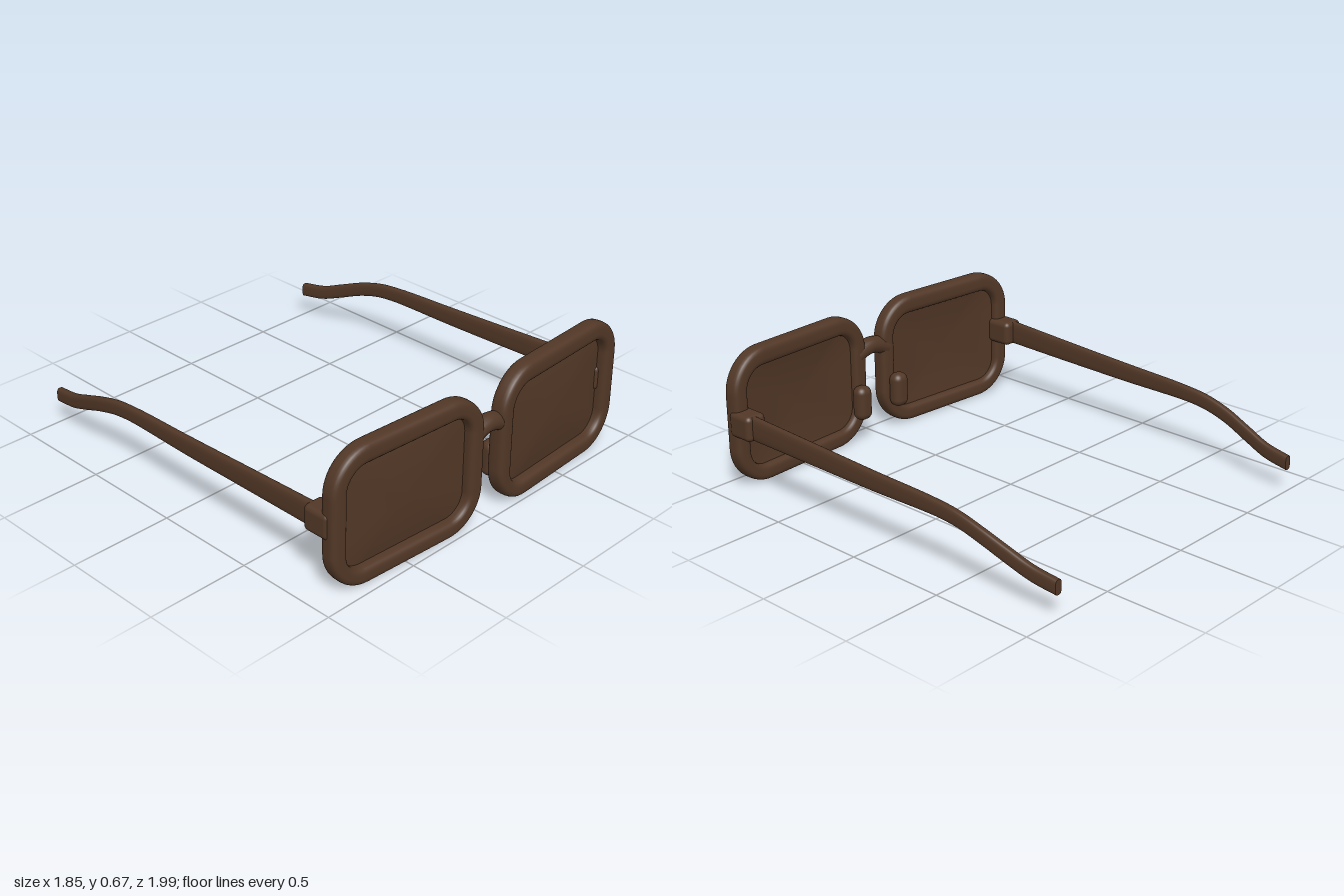
import * as THREE from 'three';
import { RoundedBoxGeometry } from 'three/addons/geometries/RoundedBoxGeometry.js';

const brown = new THREE.MeshStandardMaterial({ color: 0x513726, side: THREE.DoubleSide });
brown.name = 'dark brown';

// Skins a list of closed rings; the list may close on itself or get flat end caps.
function loft(rings, { loop = false, caps = false } = {}) {
  const n = rings[0].length, pos = [], idx = [];
  rings.forEach(r => r.forEach(p => pos.push(...p)));
  const last = loop ? rings.length : rings.length - 1;
  for (let j = 0; j < last; j++) {
    const k = (j + 1) % rings.length;
    for (let i = 0; i < n; i++) {
      const m = (i + 1) % n;
      const a = j * n + i, b = j * n + m, c = k * n + i, d = k * n + m;
      idx.push(a, c, b, b, c, d);
    }
  }
  if (caps) [rings[0], rings[rings.length - 1]].forEach((r, e) => {
    const s = pos.length / 3;
    r.forEach(p => pos.push(...p));
    for (let i = 1; i < n - 1; i++) e ? idx.push(s, s + i + 1, s + i) : idx.push(s, s + i, s + i + 1);
  });
  const g = new THREE.BufferGeometry();
  g.setAttribute('position', new THREE.Float32BufferAttribute(pos, 3));
  g.setIndex(idx);
  g.computeVertexNormals();
  return g;
}

// Unit section between a circle and a square.
function softSquare(n, power) {
  const soft = v => Math.sign(v) * Math.abs(v) ** power;
  return Array.from({ length: n }, (_, i) => {
    const t = (i + 0.5) / n * Math.PI * 2;
    return [soft(Math.cos(t)), soft(Math.sin(t))];
  });
}

// Rounded rectangle, counter-clockwise, with matching points for any size.
function contour(hw, hh, r, cx = 0, cy = 0, seg = 12) {
  const pts = [];
  [[1, 1], [-1, 1], [-1, -1], [1, -1]].forEach(([sx, sy], q) => {
    for (let i = 0; i <= seg; i++) {
      const t = (q + i / seg) * Math.PI / 2;
      pts.push([cx + sx * (hw - r) + r * Math.cos(t), cy + sy * (hh - r) + r * Math.sin(t)]);
    }
  });
  return pts;
}

function rimGeometry() {
  const outer = contour(0.431, 0.335, 0.2);
  const inner = contour(0.348, 0.248, 0.1, 0, -0.007);
  const section = softSquare(24, 0.62);
  return loft(outer.map(([ox, oy], i) => {
    const [ix, iy] = inner[i];
    return section.map(([u, v]) => [
      (ox + ix) / 2 + (ox - ix) / 2 * u, (oy + iy) / 2 + (oy - iy) / 2 * u, 0.043 * v]);
  }), { loop: true });
}

// Slightly domed sheet filling the rim.
function lensGeometry() {
  const edge = contour(0.36, 0.26, 0.11);
  const rings = [0.001, 0.2, 0.4, 0.6, 0.8, 1].map(k =>
    edge.map(([x, y]) => [x * k, y * k - 0.007, -0.008 + 0.02 * (1 - k * k)]));
  return loft(rings);
}

// Side arm, tapering back and curving down and inward at the ear.
function templeGeometry(side) {
  // z, x, y, half height
  const keys = [
    [0.82, 0.88, 0.34, 0.06], [0.4, 0.872, 0.327, 0.053], [0, 0.866, 0.316, 0.046],
    [-0.38, 0.859, 0.309, 0.037], [-0.5, 0.857, 0.295, 0.036], [-0.62, 0.852, 0.262, 0.036],
    [-0.75, 0.837, 0.212, 0.037], [-0.87, 0.822, 0.168, 0.036], [-1, 0.811, 0.146, 0.035]];
  const path = new THREE.CatmullRomCurve3(keys.map(([z, x, y]) => new THREE.Vector3(side * x, y, z)));
  const section = softSquare(20, 0.6);
  const rings = [];
  for (let i = 0; i <= 48; i++) {
    const t = i / 48, f = Math.min(t * 8, 7.999), k = Math.floor(f);
    const p = path.getPoint(t);
    const h = THREE.MathUtils.lerp(keys[k][3], keys[k + 1][3], f - k);
    rings.push(section.map(([u, v]) => [p.x + 0.019 * u, p.y + h * v, p.z]));
  }
  return loft(rings, { caps: true });
}

export function createModel() {
  const model = new THREE.Group();
  model.name = 'glasses';
  const add = (name, geometry, x = 0, y = 0, z = 0, yaw = 0) => {
    const mesh = new THREE.Mesh(geometry, brown);
    mesh.name = name;
    mesh.position.set(x, y, z);
    mesh.rotation.y = yaw;
    model.add(mesh);
  };

  for (const [name, s] of [['left', 1], ['right', -1]]) {
    add(name + 'Rim', rimGeometry(), s * 0.485, 0.336, 0.928, s * 0.058);
    add(name + 'Lens', lensGeometry(), s * 0.485, 0.336, 0.928, s * 0.058);
    add(name + 'Hinge', new RoundedBoxGeometry(0.11, 0.125, 0.142, 4, 0.025), s * 0.869, 0.338, 0.843);
    add(name + 'NosePad', new RoundedBoxGeometry(0.088, 0.175, 0.08, 5, 0.036), s * 0.124, 0.212, 0.88);
    add(name + 'Temple', templeGeometry(s));
  }

  // Arched bridge between the rims
  const arch = new THREE.CatmullRomCurve3([[-0.1, 0.435], [-0.05, 0.455], [0, 0.464], [0.05, 0.455], [0.1, 0.435]]
    .map(([x, y]) => new THREE.Vector3(x, y, 0.947)));
  add('bridge', new THREE.TubeGeometry(arch, 20, 0.043, 16));
  return model;
}
